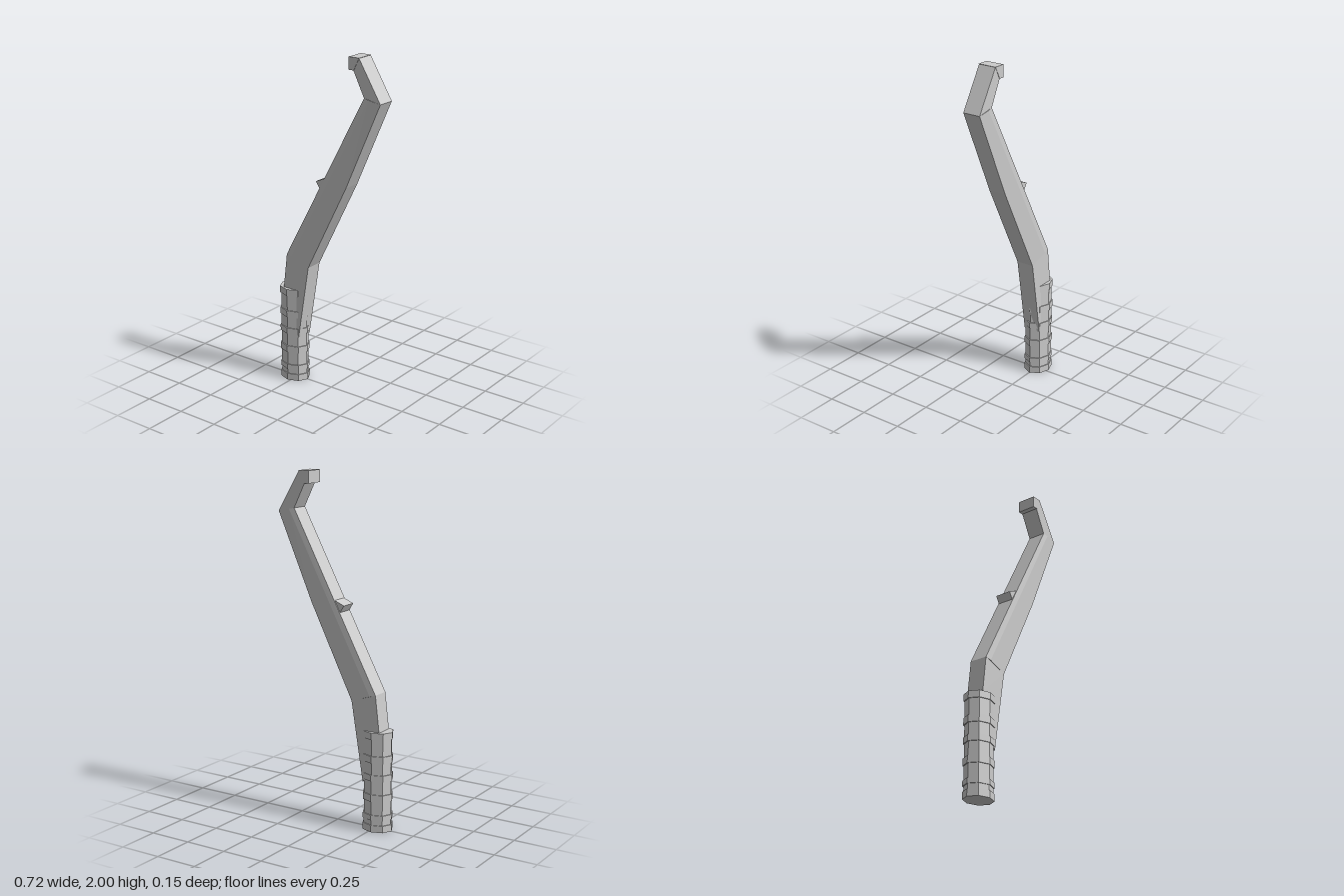
import * as THREE from 'three';
import { ConvexGeometry } from 'three/addons/geometries/ConvexGeometry.js';

const material = new THREE.MeshStandardMaterial({ color: 0xcccccc, flatShading: true });

function addMesh(group, name, geometry) {
  const mesh = new THREE.Mesh(geometry, material);
  mesh.name = name;
  group.add(mesh);
  return mesh;
}

// Flat side outline extruded symmetrically about z = 0
function slab(points, halfWidth) {
  const shape = new THREE.Shape(points.map(([x, y]) => new THREE.Vector2(x, y)));
  const geometry = new THREE.ExtrudeGeometry(shape, { depth: halfWidth * 2, bevelEnabled: false });
  return geometry.translate(0, 0, -halfWidth);
}

export function createModel() {
  const group = new THREE.Group();
  group.name = 'bentLever';

  // Bent shaft, tapering down into the grip
  addMesh(group, 'shaft', slab([
    [-0.2, 0.28], [-0.125, 0.74], [0.14, 1.27], [0.36, 1.77], [0.22, 2.0],
    [0.185, 1.93], [0.255, 1.79], [-0.28, 0.79], [-0.305, 0.58], [-0.29, 0.4],
  ], 0.053));

  // Squared hook tip
  addMesh(group, 'hookTip', slab([[0.155, 1.93], [0.188, 1.93], [0.222, 2.0], [0.155, 2.0]], 0.055));

  // Shallow crease along both sides of the long section
  const crease = [];
  for (const side of [1, -1]) {
    for (const [x, y] of [[-0.28, 0.79], [-0.125, 0.74], [0.14, 1.27], [0.36, 1.77], [0.255, 1.79]]) {
      crease.push(new THREE.Vector3(x, y, side * 0.053));
    }
    for (const [x, y] of [[-0.245, 0.78], [0.288, 1.784]]) {
      crease.push(new THREE.Vector3(x, y, side * 0.057));
    }
  }
  addMesh(group, 'sideCrease', new ConvexGeometry(crease));

  // Small catch on the upper edge
  addMesh(group, 'catch', slab([[-0.045, 1.23], [0.0, 1.25], [-0.01, 1.295], [-0.07, 1.27]], 0.048));

  // Eight-sided grip with raised bands
  const bands = [[0, 0.04], [0.07, 0.1], [0.18, 0.22], [0.3, 0.335], [0.405, 0.445], [0.54, 0.58]];
  const outer = 0.0925, inner = 0.086;
  const profile = [new THREE.Vector2(0, 0)];
  bands.forEach(([low, high], i) => {
    if (i > 0) profile.push(new THREE.Vector2(inner, low));
    profile.push(new THREE.Vector2(outer, low), new THREE.Vector2(outer, high));
    if (i < bands.length - 1) profile.push(new THREE.Vector2(inner, high));
  });
  profile.push(new THREE.Vector2(0, 0.58));
  const grip = addMesh(group, 'grip', new THREE.LatheGeometry(profile, 8));
  grip.scale.z = 0.83;
  grip.position.x = -0.2675;

  return group;
}
